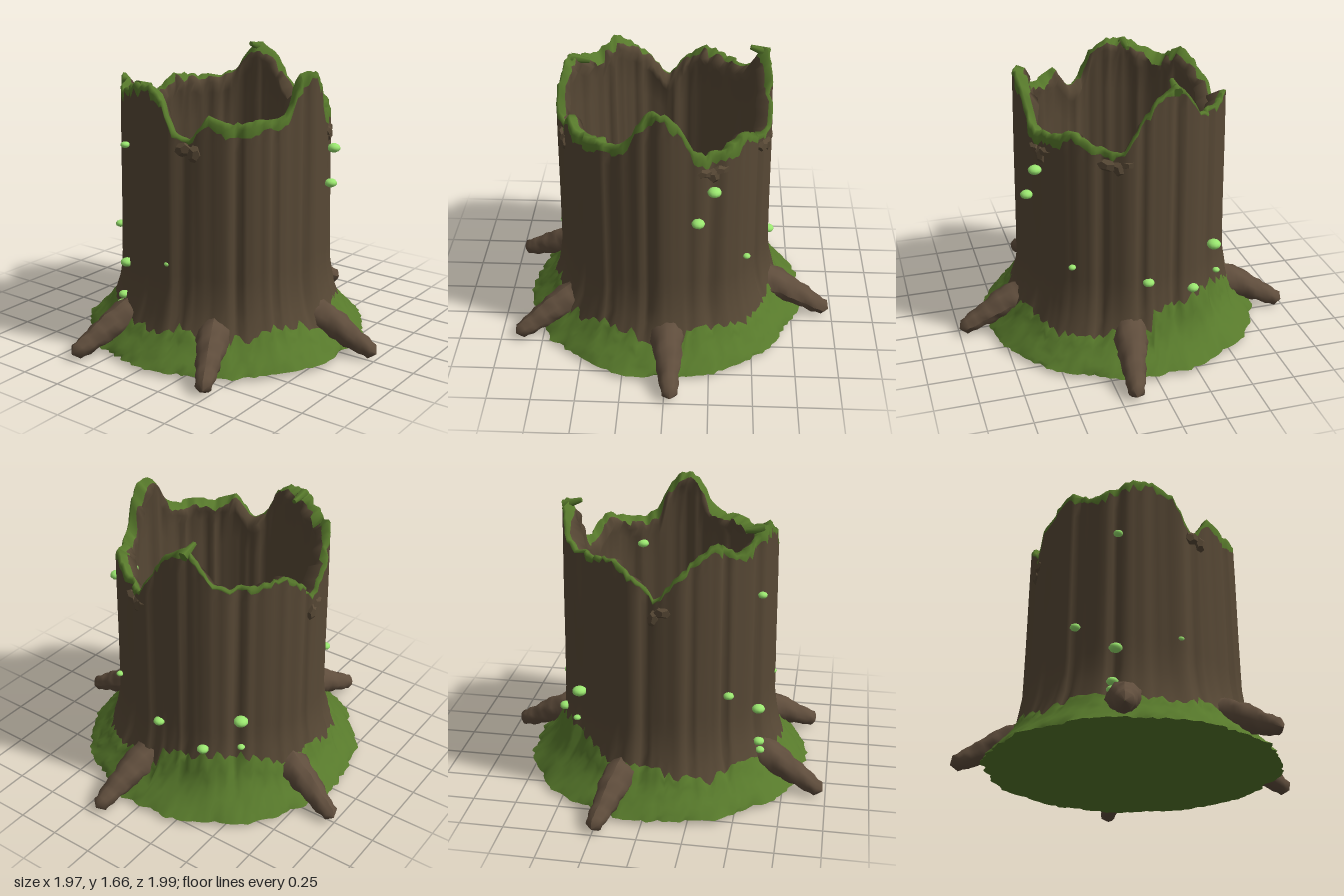
import * as THREE from 'three';

const CX = -0.03, CZ = -0.015, N = 168, DEG = Math.PI / 180;

let seed = 7;
const rand = () => (seed = (seed * 16807) % 2147483647) / 2147483647;
const noise = Array.from({ length: 9 }, () => Array.from({ length: N }, () => rand() * 2 - 1));

// Linear interpolation through [position, value] pairs
function curveAt(points, t) {
  for (let i = 1; i < points.length; i++) {
    const [a, va] = points[i - 1], [b, vb] = points[i];
    if (t <= b) return va + (vb - va) * Math.max(0, (t - a) / (b - a));
  }
  return points[points.length - 1][1];
}
const mix = (a, b, t) => a + (b - a) * t;

// Broken rim height by angle in degrees (0 = +x, 90 = front)
const RIM = [[0, 1.55], [6, 1.45], [14, 1.31], [25, 1.33], [40, 1.42], [54, 1.37], [66, 1.36], [73, 1.41],
  [79, 1.53], [86, 1.62], [93, 1.65], [99, 1.61], [106, 1.48], [113, 1.41], [125, 1.42], [140, 1.39], [152, 1.44],
  [163, 1.30], [171, 1.34], [178, 1.5], [186, 1.57], [199, 1.58], [210, 1.52], [224, 1.5], [237, 1.57],
  [250, 1.48], [262, 1.35], [269, 1.25], [277, 1.37], [292, 1.48], [308, 1.45], [322, 1.45], [331, 1.49],
  [338, 1.61], [345, 1.67], [353, 1.63], [360, 1.55]];
// Trunk radius by height
const BODY = [[0.04, 0.83], [0.1, 0.77], [0.15, 0.72], [0.2, 0.685], [0.3, 0.648], [0.45, 0.622],
  [0.8, 0.615], [1.2, 0.61], [1.7, 0.6]];
// Depth of moss below the rim by angle, outside and inside
const BAND_OUT = [[0, 0.035], [25, 0.06], [66, 0.065], [93, 0.05], [115, 0.07], [160, 0.06], [200, 0.06],
  [240, 0.05], [290, 0.04], [360, 0.035]];
const BAND_IN = [[0, 0.06], [40, 0.04], [93, 0.03], [180, 0.03], [215, 0.06], [240, 0.07], [265, 0.03],
  [300, 0.05], [330, 0.04], [360, 0.06]];
// How far moss reaches across the rim; steep torn sides stay bare
const COVER = [[0, 0.6], [4, 0.1], [13, 0.1], [20, 0.75], [70, 0.85], [93, 0.9], [150, 0.85], [160, 0.2], [177, 0.2],
  [184, 0.7], [240, 0.7], [250, 0.25], [276, 0.15], [290, 0.5], [325, 0.45], [333, 0.25], [341, 0.75], [350, 0.75],
  [360, 0.6]];

const degrees = i => i / N * 360;
const rim = i => curveAt(RIM, degrees(i)) + noise[0][i] * 0.01;
const mossTop = i => {
  const d = degrees(i);
  return 0.215 + 0.13 * Math.exp(-(((d - 322) / 42) ** 2)) + 0.07 * Math.exp(-(((d - 352) / 22) ** 2))
    + 0.02 * Math.sin(d * DEG * 7) + noise[1][i] * 0.03;
};
const cover = i => Math.min(1, Math.max(0.05, curveAt(COVER, degrees(i)) + noise[8][i >> 1] * 0.3));
const bandOut = i => (curveAt(BAND_OUT, degrees(i)) + noise[2][i] * 0.022) * mix(0.35, 1.1, cover(i));
const bandIn = i => curveAt(BAND_IN, degrees(i)) + noise[7][i >> 1] * 0.025;

// Vertical bark grooves
function bark(i, y) {
  const a = i / N * Math.PI * 2;
  const groove = Math.max(0, Math.sin(a * 13 + Math.sin(a * 3) * 2 + y * 0.25)) ** 8;
  return 0.009 * Math.sin(a * 9 + Math.sin(a * 4)) + 0.005 * noise[3][i] - 0.028 * groove;
}
const outer = (i, y) => curveAt(BODY, y) + bark(i, y) * Math.min(1, Math.max(0, (y - 0.1) * 5));
const inner = (i, y) => 0.55 + bark(i, y) * 0.8 + noise[4][i] * 0.006;
// Ragged inner edge of the moss, where the hollow wall begins
const lip = i => [mix(outer(i, rim(i)) - 0.02, 0.535, cover(i)), rim(i) - bandIn(i) * cover(i)];

// Closed sheet of rings; each row maps column i to [radius, y]
function sheet(name, rows, material) {
  const pos = [], index = [];
  rows.forEach(row => {
    for (let i = 0; i < N; i++) {
      const a = i / N * Math.PI * 2, [r, y] = row(i);
      pos.push(CX + Math.cos(a) * r, y, CZ + Math.sin(a) * r);
    }
  });
  for (let j = 0; j < rows.length - 1; j++) {
    for (let i = 0; i < N; i++) {
      const k = (i + 1) % N, a = j * N + i, b = a + N, c = j * N + k, d = c + N;
      index.push(a, b, c, b, d, c);
    }
  }
  const g = new THREE.BufferGeometry();
  g.setAttribute('position', new THREE.Float32BufferAttribute(pos, 3));
  g.setIndex(index);
  g.computeVertexNormals();
  const mesh = new THREE.Mesh(g, material);
  mesh.name = name;
  return mesh;
}

const steps = (n, f) => Array.from({ length: n + 1 }, (_, j) => i => f(i, j / n, j));

// Tapered, knobbly root along a curve
function root(points, material) {
  const curve = new THREE.CatmullRomCurve3(points.map(p => new THREE.Vector3(...p)));
  const L = 16, S = 12;
  const g = new THREE.TubeGeometry(curve, L, 1, S, false);
  const p = g.attributes.position, v = new THREE.Vector3();
  for (let j = 0; j <= L; j++) {
    const t = j / L, c = curve.getPointAt(t);
    const r = j === L ? 0.001 : mix(0.115, 0.042, t ** 0.85) + 0.004 * Math.sin(j * 2.1);
    for (let s = 0; s <= S; s++) {
      const k = j * (S + 1) + s;
      v.fromBufferAttribute(p, k).sub(c).multiplyScalar(r * (1 + 0.06 * Math.sin((s % S) * 2.6 + j))).add(c);
      p.setXYZ(k, v.x, Math.max(0, v.y), v.z);
    }
  }
  g.computeVertexNormals();
  const mesh = new THREE.Mesh(g, material);
  mesh.name = 'root';
  return mesh;
}

export function createModel() {
  const mat = (name, color) => Object.assign(new THREE.MeshStandardMaterial({ color }), { name });
  const barkMat = mat('bark brown', 0x574835);
  const rootMat = mat('root brown', 0x5f4d3c);
  const moss = mat('moss green', 0x57792b);
  const cap = mat('mushroom light green', 0x9be870);
  const model = new THREE.Group();
  model.name = 'treeStump';

  // Mossy ground skirt and its underside
  const edge = i => 0.835 + 0.012 * Math.sin(i * 0.4) + noise[5][i] * 0.015;
  const under = steps(6, (i, t, j) => [edge(i) * t, 0.04 + (j % 6 ? noise[6][(i + j * 17) % N] * 0.004 * t : 0)]);
  model.add(sheet('mossUnderside', under, moss));
  model.add(sheet('mossSkirt', steps(7, (i, t, j) => {
    const y = mix(0.04, mossTop(i), t);
    if (!j) return [edge(i), y];
    return [outer(i, y) + (j < 7 ? 0.008 + noise[5][(i + j * 23) % N] * 0.008 : 0), y];
  }), moss));

  // Trunk outside, mossy broken rim, hollow inside, mossy floor
  model.add(sheet('trunkBark', steps(14, (i, t) => {
    const y = mix(mossTop(i), rim(i) - bandOut(i), t);
    return [outer(i, y), y];
  }), barkMat));
  model.add(sheet('rimMoss', [
    i => [outer(i, rim(i) - bandOut(i)), rim(i) - bandOut(i)],
    i => [outer(i, rim(i)) + 0.002, rim(i) - bandOut(i) * 0.4],
    i => [outer(i, rim(i)) - 0.012, rim(i)],
    lip,
  ], moss));
  model.add(sheet('hollowWall', [
    lip,
    i => [0.522 + noise[8][i >> 1] * 0.022, lip(i)[1] - 0.035],
    ...steps(7, (i, t) => {
      const y = mix(lip(i)[1] - 0.1, 0.1, t);
      return [inner(i, y), y];
    }),
  ], barkMat));
  model.add(sheet('hollowFloor', steps(6, (i, t, j) =>
    [0.59 * (1 - t), 0.15 + noise[6][(i + j * 31) % N] * 0.004 * (1 - t)]), moss));

  // Roots: start and tip in [x, z]
  const roots = [[[0, 0.56], [0.035, 0.998]], [[0.55, 0.09], [0.982, 0.17]], [[0.13, -0.57], [0.25, -0.995]],
    [[-0.55, -0.25], [-0.985, -0.395]], [[-0.52, 0.28], [-0.91, 0.48]]];
  roots.forEach(([[ax, az], [bx, bz]]) => {
    const heights = [0.22, 0.18, 0.09, 0.05];
    model.add(root([0, 0.35, 0.78, 1].map((t, k) => [mix(ax, bx, t), heights[k], mix(az, bz, t)]), rootMat));
  });

  // Torn bark hanging under the notches: angle, height, half width, half height
  [[11, 1.25, 0.05, 0.03], [16, 1.225, 0.035, 0.05], [22, 1.245, 0.06, 0.035], [57, 1.255, 0.06, 0.03],
    [62, 1.23, 0.035, 0.05], [67, 1.255, 0.05, 0.03], [160, 1.23, 0.04, 0.05], [166, 1.25, 0.05, 0.04],
    [265, 1.2, 0.05, 0.035], [270, 1.165, 0.03, 0.05]].forEach(([d, y, w, h], k) => {
    const lump = new THREE.Mesh(new THREE.DodecahedronGeometry(1), barkMat);
    lump.name = 'tornBark';
    lump.scale.set(w, h, 0.025);
    lump.position.set(CX + Math.cos(d * DEG) * 0.6, y, CZ + Math.sin(d * DEG) * 0.6);
    lump.rotation.set(0, (90 - d) * DEG, 0.3 * Math.sin(k * 2));
    model.add(lump);
  });

  // Curled splinters pointing inward from two rim peaks: x, y, z, tilt
  [[-0.53, 1.55, -0.2, -1.7], [0.5, 1.645, -0.17, 1.25]].forEach(([x, y, z, tilt]) => {
    const splinter = new THREE.Mesh(new THREE.CylinderGeometry(0.014, 0.03, 0.11, 6), moss);
    splinter.name = 'rimSplinter';
    splinter.position.set(x, y, z);
    splinter.rotation.z = tilt;
    model.add(splinter);
  });

  // Small shelf mushrooms: x, y, z, radius
  [[0.26, 1.145, 0.55, 0.039], [0.175, 0.96, 0.585, 0.037], [0.455, 0.61, 0.395, 0.022], [0.595, 0.525, -0.01, 0.034],
    [0.555, 0.425, -0.29, 0.035], [0.425, 0.615, -0.46, 0.042], [0.44, 0.45, -0.475, 0.022], [-0.435, 0.67, -0.49, 0.03],
    [-0.59, 1.21, -0.3, 0.027], [-0.59, 0.51, -0.31, 0.038], [-0.6, 0.31, -0.33, 0.033], [-0.61, 0.26, -0.34, 0.028],
    [-0.645, 0.59, 0.04, 0.022], [0.22, 1.2, 0.46, 0.036]].forEach(([x, y, z, r]) => {
    const m = new THREE.Mesh(new THREE.SphereGeometry(r, 10, 7), cap);
    m.name = 'mushroom';
    m.scale.y = 0.68;
    m.position.set(x, y, z);
    model.add(m);
  });
  return model;
}
